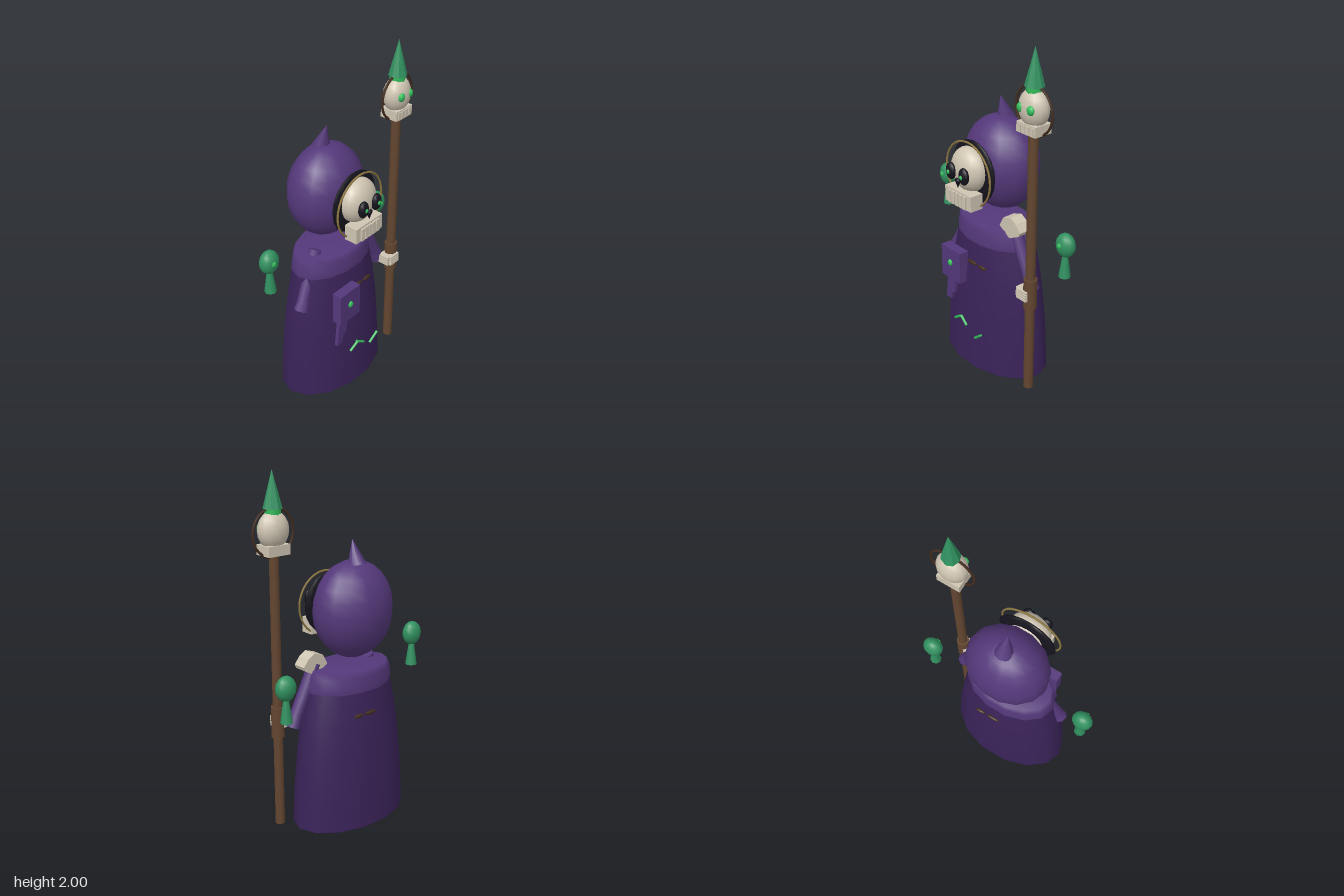
import * as THREE from 'three';

const mat = (name, color, side = THREE.FrontSide) => {
  const m = new THREE.MeshStandardMaterial({ color, side });
  m.name = name;
  return m;
};

export function createModel() {
  const root = new THREE.Group();
  root.name = 'hoodedSkeletonMage';
  const robe = mat('robe purple', 0x3a2359);
  const cloth = mat('cloth purple', 0x54387a);
  const bone = mat('bone', 0xcfc5b2);
  const black = mat('shadow black', 0x15141d);
  const gold = mat('old gold', 0x8f7843);
  const wood = mat('wood', 0x634630);
  const darkWood = mat('dark wood', 0x442e20);
  const green = mat('spirit green', 0x319160);
  const glow = mat('glowing green', 0x34c05c);

  const add = (name, geo, material, pos = [0, 0, 0], parent = root) => {
    const m = new THREE.Mesh(geo, material);
    m.name = name;
    m.position.set(...pos);
    parent.add(m);
    return m;
  };
  const ball = (name, material, pos, r, w = 14, h = 10, parent = root) =>
    add(name, new THREE.SphereGeometry(1, w, h).scale(...r), material, pos, parent);
  const box = (name, material, pos, size, parent = root) =>
    add(name, new THREE.BoxGeometry(...size), material, pos, parent);
  // Cylinder running from point a to point b
  const rod = (name, material, a, b, ra, rb, sides = 8) => {
    const p = new THREE.Vector3(...a), q = new THREE.Vector3(...b);
    const d = q.clone().sub(p);
    const m = add(name, new THREE.CylinderGeometry(rb, ra, d.length(), sides), material);
    m.position.copy(p).add(q).multiplyScalar(0.5);
    m.quaternion.setFromUnitVectors(new THREE.Vector3(0, 1, 0), d.normalize());
    return m;
  };
  // Oval lathe with corners on the x axis
  const oval = (name, material, profile, cx, cz, depth) => {
    const pts = profile.map(([r, y]) => new THREE.Vector2(r, y));
    return add(name, new THREE.LatheGeometry(pts, 14).rotateY(Math.PI / 2).scale(1, 1, depth),
      material, [cx, 0, cz]);
  };

  // Robe and collar
  oval('robe', robe, [[0, 0], [0.37, 0], [0.37, 0.002], [0.356, 0.24], [0.337, 0.44],
    [0.31, 0.62], [0.272, 0.8], [0.245, 0.9], [0, 0.9]], -0.015, -0.036, 0.635);
  oval('collar', cloth, [[0.276, 0.79], [0.278, 0.815], [0.268, 0.875], [0.25, 0.91], [0, 0.911]],
    -0.015, -0.036, 0.635);

  // Hood with its point
  ball('hood', cloth, [-0.015, 1.23, -0.07], [0.243, 0.272, 0.195], 14, 12);
  rod('hoodPoint', cloth, [-0.015, 1.475, -0.1], [-0.015, 1.61, -0.062], 0.054, 0.002, 10);
  ball('hoodShadow', black, [-0.015, 1.225, 0.13], [0.178, 0.178, 0.028], 20, 10);
  add('hoodTrim', new THREE.TorusGeometry(0.184, 0.006, 6, 32), gold, [-0.015, 1.217, 0.17]);

  // Face
  const face = new THREE.Group();
  face.name = 'face';
  face.position.set(-0.017, 0, 0);
  root.add(face);
  ball('skull', bone, [0, 1.245, 0.155], [0.125, 0.127, 0.085], 16, 12, face);
  box('jaw', bone, [0, 1.093, 0.2], [0.22, 0.09, 0.08], face);
  for (let i = -2; i <= 2; i++)
    box('tooth', bone, [i * 0.031, 1.09, 0.243], [0.025, 0.075, 0.016], face);
  for (const s of [-1, 1]) {
    ball('eyeSocket', black, [s * 0.054, 1.24, 0.24], [0.036, 0.049, 0.023], 12, 8, face);
    ball('eyeGlow', glow, [s * 0.054, 1.24, 0.259], [0.013, 0.014, 0.009], 8, 6, face);
  }
  const nose = add('nose', new THREE.ConeGeometry(0.023, 0.045, 6).rotateX(Math.PI), black,
    [0, 1.178, 0.238], face);
  nose.scale.z = 0.6;
  ball('noseTop', black, [0, 1.2, 0.238], [0.021, 0.014, 0.014], 8, 6, face);

  // Arms with sleeve cuffs
  rod('leftArm', cloth, [0.19, 0.94, 0.015], [0.345, 0.62, 0.02], 0.036, 0.036);
  rod('leftCuff', cloth, [0.322, 0.668, 0.02], [0.35, 0.603, 0.02], 0.036, 0.042);
  rod('rightArm', cloth, [-0.17, 0.925, -0.015], [-0.318, 0.625, 0.01], 0.036, 0.036);
  rod('rightCuff', cloth, [-0.3, 0.66, 0.01], [-0.328, 0.605, 0.012], 0.034, 0.042);

  // Bone shoulder plate
  const plate = new THREE.Shape([[0.125, 0.93], [0.205, 0.88], [0.28, 0.918], [0.29, 0.94],
    [0.257, 0.982], [0.215, 1.007], [0.155, 0.987]].map(([x, y]) => new THREE.Vector2(x, y)));
  add('shoulderPlate', new THREE.ExtrudeGeometry(plate, { depth: 0.08, bevelEnabled: false }),
    bone, [0, 0, -0.015]);

  // Hand wrapped round the staff
  box('hand', bone, [0.355, 0.625, 0.085], [0.06, 0.055, 0.07]);
  for (let i = 0; i < 4; i++)
    box('finger', bone, [0.378, 0.602 + i * 0.0155, 0.125], [0.075, 0.012, 0.016]);

  // Staff
  const sx = 0.4, sz = 0.083;
  rod('staffShaft', wood, [sx, 0.01, sz], [sx, 1.58, sz], 0.028, 0.027, 10);
  rod('staffGrip', wood, [sx, 0.54, sz], [sx, 0.72, sz], 0.038, 0.038, 10);
  add('staffRing', new THREE.TorusGeometry(0.13, 0.007, 6, 32), darkWood, [sx, 1.677, sz]);
  ball('staffSkull', bone, [sx, 1.69, sz], [0.09, 0.102, 0.07]);
  box('staffJaw', bone, [sx, 1.59, sz], [0.138, 0.055, 0.108]);
  for (let i = 0; i < 4; i++)
    box('staffTooth', bone, [sx - 0.045 + i * 0.03, 1.588, sz + 0.055], [0.024, 0.046, 0.01]);
  for (const s of [-1, 1])
    ball('staffEye', glow, [sx + s * 0.036, 1.697, sz + 0.057], [0.024, 0.025, 0.017], 10, 8);
  rod('crystalBase', glow, [sx, 1.765, sz], [sx, 1.812, sz], 0.042, 0.044, 8);
  const crystal = add('crystal', new THREE.ConeGeometry(0.052, 0.2, 8).toNonIndexed(), green,
    [sx, 1.9, sz]);
  crystal.geometry.computeVertexNormals();

  // Floating spirits
  for (const [x, y, z] of [[0.477, 0.893, -0.097], [-0.487, 0.993, -0.06]]) {
    ball('spiritHead', green, [x, y, z], [0.061, 0.07, 0.048], 12, 8);
    rod('spiritTail', green, [x, y - 0.193, z], [x, y - 0.05, z], 0.034, 0.014, 8);
    ball('spiritEye', glow, [x - 0.006, y + 0.006, z + 0.044], [0.016, 0.016, 0.008], 8, 6);
  }

  // Book with gem, and ragged cloth below
  box('book', cloth, [-0.133, 0.624, 0.18], [0.165, 0.195, 0.06]);
  ball('bookGem', glow, [-0.135, 0.633, 0.212], [0.018, 0.02, 0.012], 8, 6);
  const rag = new THREE.Shape([[-0.195, 0.53], [-0.215, 0.36], [-0.17, 0.365], [-0.165, 0.405],
    [-0.135, 0.425], [-0.125, 0.53]].map(([x, y]) => new THREE.Vector2(x, y)));
  add('raggedCloth', new THREE.ExtrudeGeometry(rag, { depth: 0.02, bevelEnabled: false }),
    cloth, [0, 0, 0.163]);

  // Belt knots front and back
  for (const z of [0.154, -0.226])
    for (const [x, w] of [[-0.005, 0.045], [0.08, 0.034]])
      ball('beltKnot', darkWood, [x, 0.67, z], [w, 0.012, 0.01], 8, 6);

  // Glowing rune strokes
  const runes = [[-0.115, 0.265, -0.06, 0.305], [-0.06, 0.305, -0.003, 0.268],
    [0.065, 0.212, 0.127, 0.265]];
  for (const [x1, y1, x2, y2] of runes)
    rod('rune', glow, [x1, y1, 0.198], [x2, y2, 0.205], 0.008, 0.008, 5);

  return root;
}
